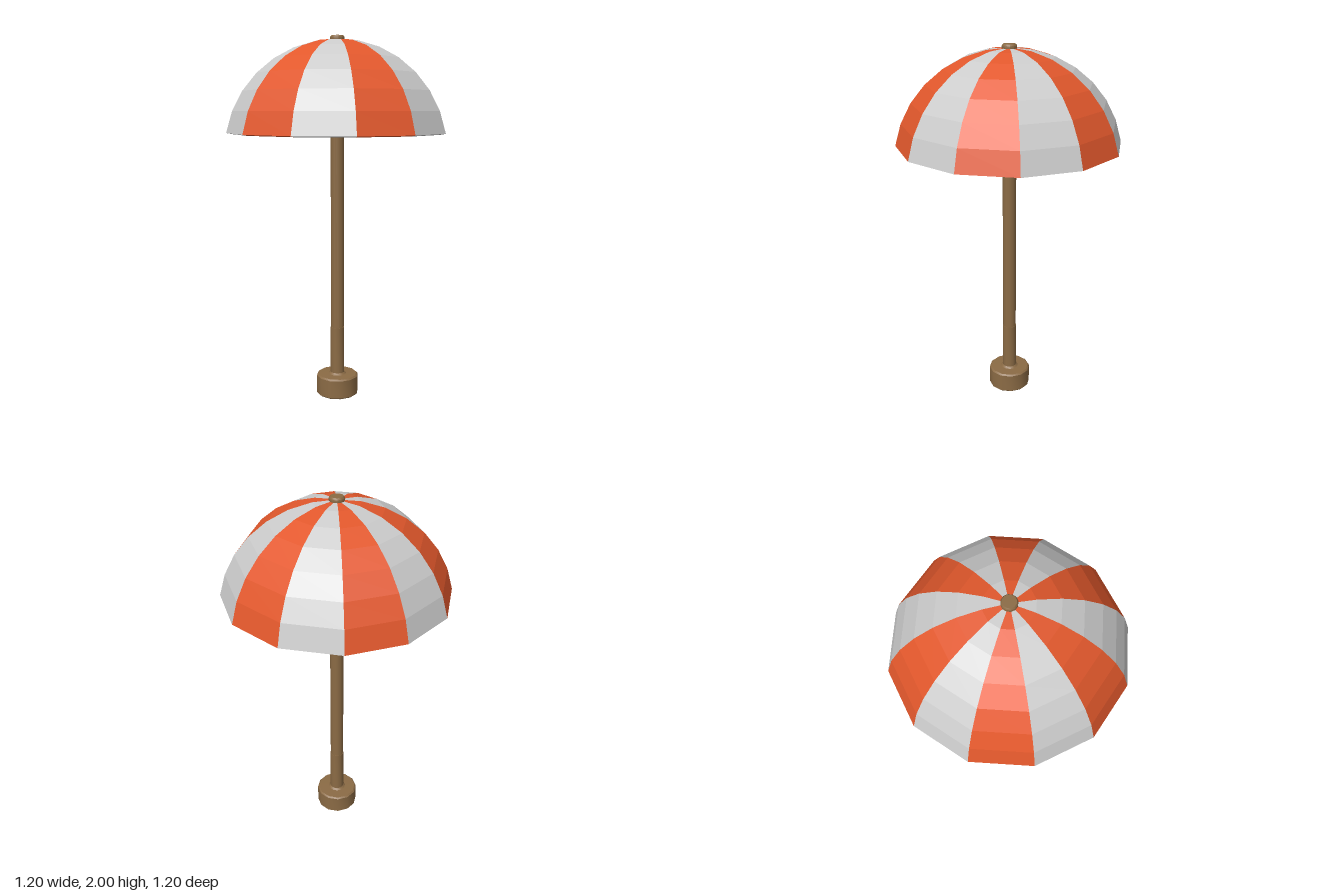
import * as THREE from 'three';
import { toCreasedNormals } from 'three/addons/utils/BufferGeometryUtils.js';

const PANELS = 12, RINGS = 7;
const RIM_ANGLE = THREE.MathUtils.degToRad(79.3);
const CENTRE_Y = 1.372;

const fabricOrange = new THREE.MeshStandardMaterial({ color: 0xe2582c, flatShading: true });
const fabricGrey = new THREE.MeshStandardMaterial({ color: 0xcccccc, flatShading: true });
const wood = new THREE.MeshStandardMaterial({ color: 0x8b6b45 });

// Arc of a dome from its apex down to the rim
function domeArc(radius) {
  const points = [];
  for (let i = 0; i <= RINGS; i++) {
    const a = (i / RINGS) * RIM_ANGLE;
    points.push(new THREE.Vector2(radius * Math.sin(a), CENTRE_Y + radius * Math.cos(a)));
  }
  return points;
}

// Turned wooden part from [radius, height] pairs, bottom to top
function turned(name, profile) {
  const points = profile.map(([r, y]) => new THREE.Vector2(r, y));
  const geometry = toCreasedNormals(new THREE.LatheGeometry(points, 12), 0.65);
  const mesh = new THREE.Mesh(geometry, wood);
  mesh.name = name;
  return mesh;
}

export function createModel() {
  const model = new THREE.Group();
  model.name = 'parasol';

  // Canopy: inner lining, rim and outer skin in one profile, striped by panel
  const canopy = new THREE.Group();
  canopy.name = 'canopy';
  const profile = [...domeArc(0.58), ...domeArc(0.61).reverse()];
  const step = (Math.PI * 2) / PANELS;
  for (let k = 0; k < PANELS; k++) {
    const panel = new THREE.Mesh(
      new THREE.LatheGeometry(profile, 1, k * step, step),
      k % 2 ? fabricGrey : fabricOrange
    );
    panel.name = `canopyPanel${k + 1}`;
    canopy.add(panel);
  }
  model.add(canopy);

  // Pole with a slightly thicker lower sleeve
  model.add(turned('pole', [[0, 0.1], [0.037, 0.1], [0.037, 1.98], [0, 1.98]]));
  model.add(turned('poleSleeve', [[0.04, 0.11], [0.039, 0.39], [0.036, 0.39]]));

  // Heavy foot with softened edges and a small collar
  model.add(turned('foot', [
    [0, 0], [0.112, 0], [0.118, 0.006], [0.118, 0.106], [0.11, 0.114],
    [0.05, 0.115], [0.04, 0.125], [0, 0.125],
  ]));

  // Finial on top
  model.add(turned('finial', [
    [0, 1.965], [0.034, 1.965], [0.039, 1.975], [0.039, 1.992], [0.033, 2], [0, 2],
  ]));

  return model;
}
